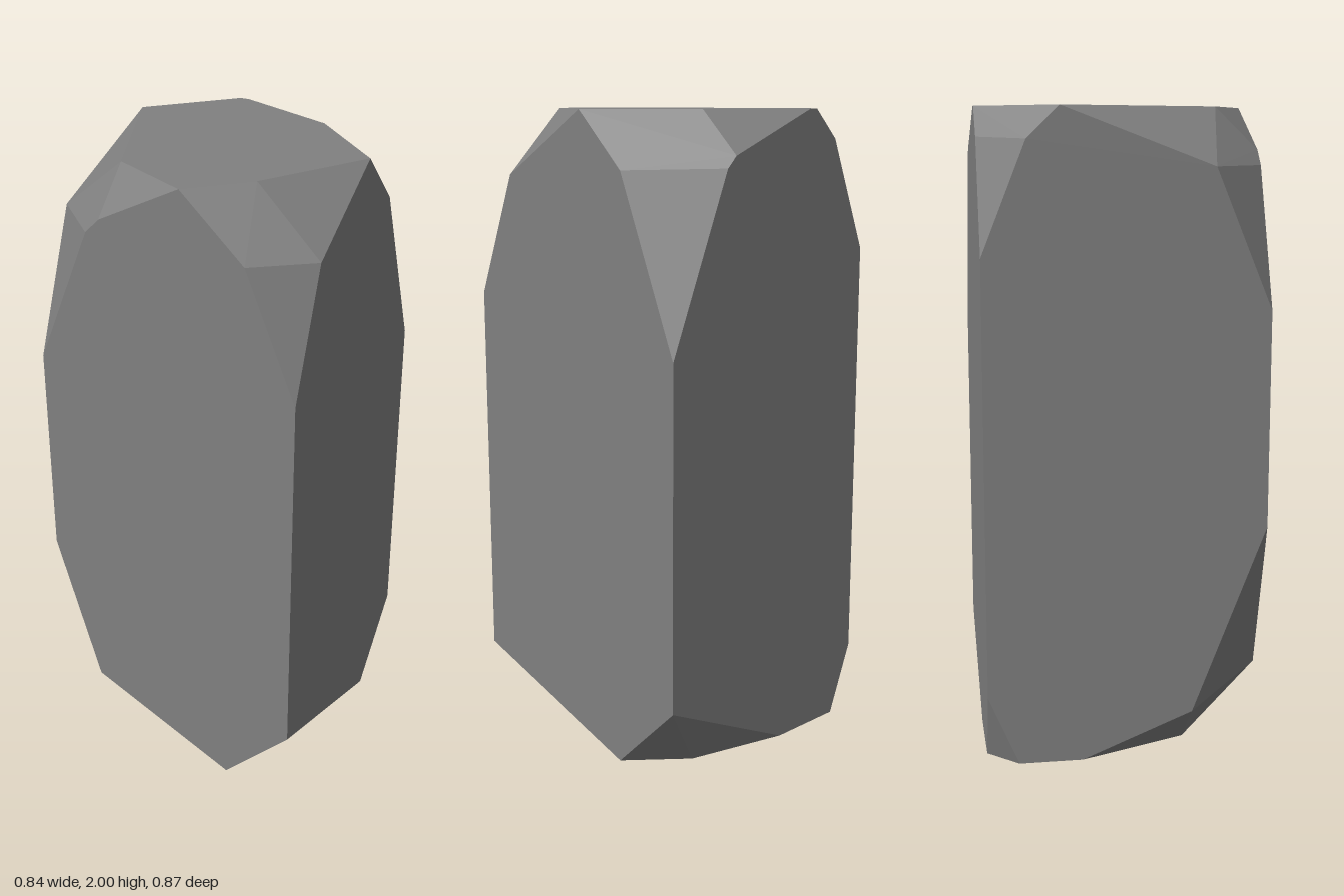
import * as THREE from 'three';
import { ConvexGeometry } from 'three/addons/geometries/ConvexGeometry.js';

// Half width, height and half depth of the uncut block
const W = 0.42, H = 2, D = 0.435;

// Each corner of the block is chipped off; these are the points left by each chip
const cornerCuts = {
  topFrontLeft: [[0.06, H, D], [0.22, H, 0.28], [W, H, -0.045], [0.26, 1.81, D], [W, 1.8, 0.285], [W, 1.42, D]],
  topFrontRight: [[-0.2, H, 0.3], [-W, H, -0.2], [-0.2, 1.87, D], [-0.245, 1.825, D], [-W, 1.825, 0.26], [-W, 1.4, D]],
  topBackLeft: [[0.165, H, -0.3], [-0.16, H, -D], [0.165, 1.87, -D], [0.2, 1.835, -D], [W, 1.83, -0.22], [W, 1.3, -D]],
  topBackRight: [[-0.19, H, -D], [-0.28, 1.91, -D], [-W, 1.905, -0.3], [-W, 1.565, -D]],
  bottomFrontLeft: [[0.2, 0, D], [W, 0, -0.2], [W, 0.22, D]],
  bottomFrontRight: [[-0.285, 0, 0.2], [-W, 0, -0.14], [-W, 0.14, 0.205], [-0.275, 0.24, D], [-W, 0.73, D]],
  bottomBackLeft: [[0.25, 0, -0.35], [-0.07, 0, -D], [W, 0.23, -D]],
  bottomBackRight: [[-0.33, 0, -D], [-W, 0, -0.34], [-W, 0.22, -D]],
};

export function createModel() {
  const group = new THREE.Group();
  group.name = 'rockPillar';

  const stone = new THREE.MeshStandardMaterial({ color: 0x808080 });
  stone.name = 'grey stone';

  // Tall faceted rock: the hull of all the chipped corners, with flat facets
  const points = Object.values(cornerCuts).flat().map((p) => new THREE.Vector3(...p));
  const rock = new THREE.Mesh(new ConvexGeometry(points), stone);
  rock.name = 'rock';
  group.add(rock);

  return group;
}
